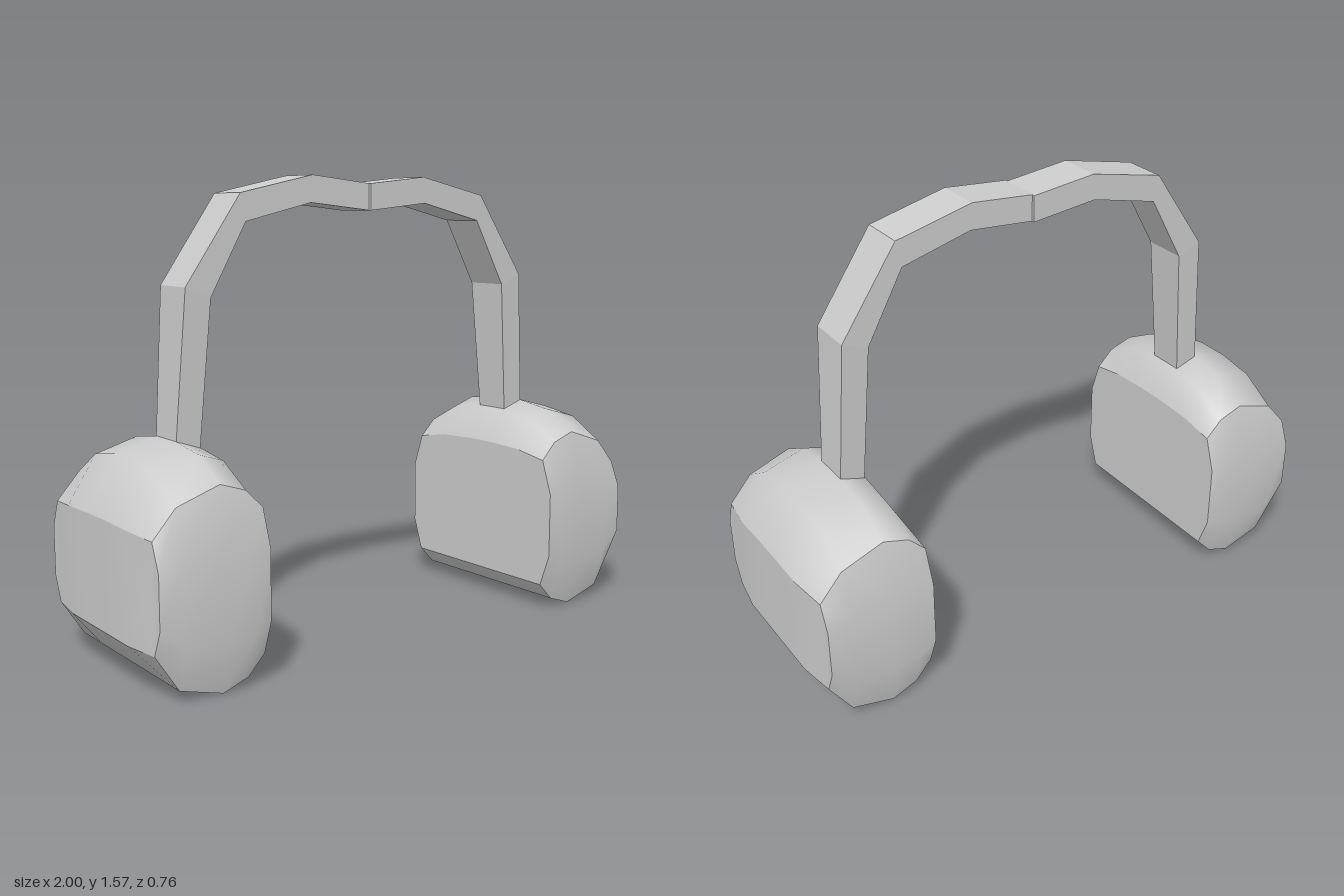
import * as THREE from 'three';
import { mergeGeometries } from 'three/addons/utils/BufferGeometryUtils.js';

const grey = new THREE.MeshStandardMaterial({ color: 0xcccccc });
const greyFlat = new THREE.MeshStandardMaterial({ color: 0xcccccc, flatShading: true });

// Surface through rows of [x, y, z] points, smooth inside and sharp at its border.
function patch(rows, flip) {
  const n = rows[0].length, index = [];
  for (let r = 0; r < rows.length - 1; r++) {
    for (let c = 0; c < n - 1; c++) {
      const a = r * n + c, b = a + n;
      if (flip) index.push(a, b + 1, b, a, a + 1, b + 1);
      else index.push(a, b, b + 1, a, b + 1, a + 1);
    }
  }
  const g = new THREE.BufferGeometry();
  g.setAttribute('position', new THREE.Float32BufferAttribute(rows.flat(2), 3));
  g.setIndex(index);
  g.computeVertexNormals();
  return g;
}

// Ear cup: rings in the zy plane, ordered from the outer face to the inner face.
// Each ring: x, top y, shoulder drop, bottom y, end z, lower and upper y of the end.
const cupRings = [
  [1.0, 0.525, 0.015, 0.165, 0.367, 0.25, 0.42],
  [0.9, 0.70, 0.10, 0.042, 0.374, 0.19, 0.45],
  [0.75, 0.74, 0.09, 0, 0.376, 0.17, 0.47],
  [0.66, 0.71, 0.09, 0.032, 0.376, 0.18, 0.46],
  [0.6, 0.59, 0.03, 0.095, 0.371, 0.21, 0.44],
];

function cupGeometry(side) {
  const loops = cupRings.map(([x, top, drop, bottom, end, y1, y2], k) => {
    const half = [
      [0.06, bottom], [0.2, bottom], [0.33, bottom], [end, y1],
      [end, y2], [0.33, top - drop], [0.2, top - drop * 0.22], [0.06, top],
    ].map(([z, y]) => [side * (k === 0 && z > 0.25 ? x - 0.02 : x), y, z]);
    return [...half, ...half.map(([px, y, z]) => [px, y, -z]).reverse()];
  });
  const flip = side > 0;
  const band = (from, to) => patch(loops.map((l) => l.slice(from, to + 1)), flip);
  const cap = (l) => {
    const rows = [];
    for (let i = 3; i >= 0; i--) rows.push([l[i], l[7 - i]]);
    for (let i = 0; i < 4; i++) rows.push([l[15 - i], l[8 + i]]);
    return rows;
  };
  const underside = loops.map((l) => [l[13], l[14], l[15], l[0], l[1], l[2]]);
  return mergeGeometries([
    band(2, 5), // front end
    band(5, 10), // domed top
    band(10, 13), // back end
    patch(underside, flip),
    patch(cap(loops[0]), !flip), // outer face
    patch(cap(loops[4]), flip), // inner face
  ]);
}

// Half of the headband: outer x, y, inner x, y, half depth, from the cup to the middle.
const bandSections = [
  [0.753, 0.70, 0.666, 0.69, 0.065],
  [0.715, 1.22, 0.625, 1.185, 0.08],
  [0.512, 1.51, 0.493, 1.42, 0.08],
  [0.235, 1.57, 0.242, 1.48, 0.08],
  [0, 1.545, 0, 1.455, 0.08],
];

function bandGeometry(side) {
  const rows = bandSections.map(([ox, oy, ix, iy, d]) => [
    [side * ox, oy, d], [side * ox, oy, -d],
    [side * ix, iy, -d], [side * ix, iy, d], [side * ox, oy, d],
  ]);
  const flip = side > 0;
  const cap = (r) => [[r[0], r[1]], [r[3], r[2]]];
  return mergeGeometries([
    patch(rows, flip),
    patch(cap(rows[0]), !flip), // end inside the cup
    patch(cap(rows[4]), flip), // end at the middle
  ]);
}

export function createModel() {
  const model = new THREE.Group();
  model.name = 'headphones';
  for (const [side, label] of [[-1, 'right'], [1, 'left']]) {
    const half = new THREE.Group();
    half.name = `${label}Half`;
    const cup = new THREE.Mesh(cupGeometry(side), grey);
    cup.name = `${label}EarCup`;
    const band = new THREE.Mesh(bandGeometry(side), greyFlat);
    band.name = `${label}Headband`;
    half.add(cup, band);
    half.position.z = 0.003;
    // The left half sits very slightly twisted against the right one.
    if (side > 0) {
      half.rotation.y = 0.027;
      half.position.set(-0.005, 0, 0.013);
    }
    model.add(half);
  }
  return model;
}
